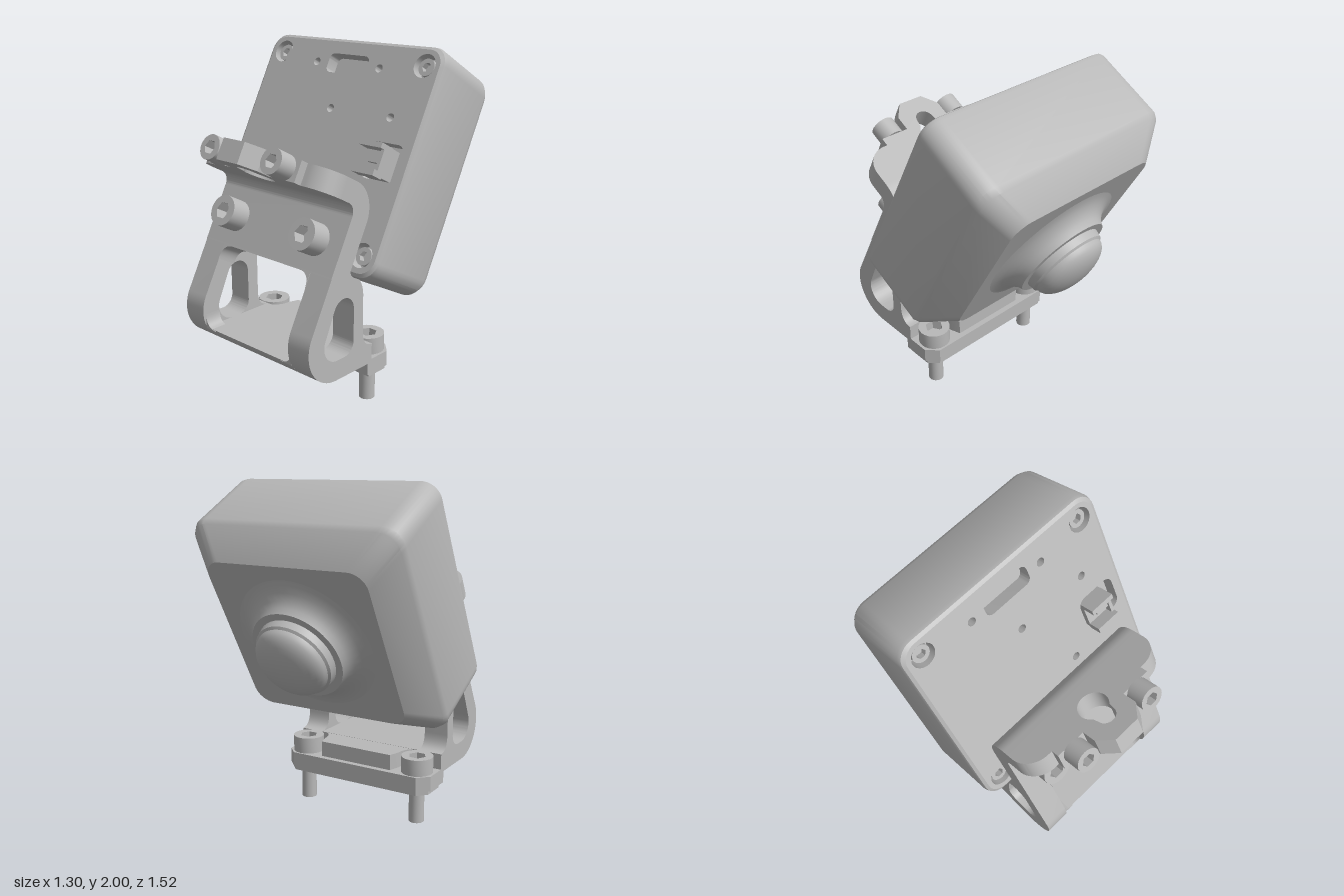
import * as THREE from 'three';
import { toCreasedNormals } from 'three/addons/utils/BufferGeometryUtils.js';

const grey = new THREE.MeshStandardMaterial({ color: 0xb8b8b8 });
grey.name = 'grey metal';
const PI = Math.PI;

function add(parent, name, geo) {
  const m = new THREE.Mesh(toCreasedNormals(geo, 0.5), grey);
  m.name = name;
  parent.add(m);
  return m;
}
const extrude = (shape, depth) =>
  new THREE.ExtrudeGeometry(shape, { depth, bevelEnabled: false, curveSegments: 12 });

// side profile drawn in (z, y), swept across x from x0 to x1
const sweepX = (shape, x0, x1) => extrude(shape, x1 - x0).rotateY(-PI / 2).translate(x1, 0, 0);
// plan drawn in (x, z), hanging down from y = top
const slab = (shape, top, thick) => extrude(shape, thick).rotateX(PI / 2).translate(0, top, 0);

const poly = pts => new THREE.Shape(pts.map(p => new THREE.Vector2(p[0], p[1])));
const circle = (x, y, r) => new THREE.Path().absarc(x, y, r, 0, 2 * PI, false);

// points of a rounded rectangle, counterclockwise
function roundRect(cx, cy, hw, hh, r, seg = 8) {
  const pts = [];
  [[1, 1], [-1, 1], [-1, -1], [1, -1]].forEach(([sx, sy], k) => {
    for (let i = 0; i <= seg; i++) {
      const a = (k + i / seg) * PI / 2;
      pts.push(new THREE.Vector2(cx + sx * (hw - r) + r * Math.cos(a), cy + sy * (hh - r) + r * Math.sin(a)));
    }
  });
  return pts;
}

// socket-head screw along +z: head from z = 0 to h, shank behind
function screw(parent, name, r, h, shank, shankR) {
  const g = new THREE.Group();
  g.name = name;
  const head = new THREE.Shape().absarc(0, 0, r, 0, 2 * PI, false);
  const hex = [];
  for (let i = 0; i < 6; i++) hex.push(new THREE.Vector2(r * 0.56 * Math.cos(i * PI / 3), r * 0.56 * Math.sin(i * PI / 3)));
  head.holes.push(new THREE.Path(hex));
  add(g, 'socketHead', extrude(head, h));
  add(g, 'socketFloor', new THREE.CircleGeometry(r * 0.9, 24).translate(0, 0, h * 0.4));
  if (shank) add(g, 'shank', new THREE.CylinderGeometry(shankR, shankR, shank, 24).rotateX(PI / 2).translate(0, 0, -shank / 2));
  parent.add(g);
  return g;
}

// housing shell lofted through rounded-square rings
function housingGeometry() {
  const rings = [[0, 0.625, 0.09], [-0.012, 0.643, 0.1], [-0.035, 0.65, 0.105], [-0.455, 0.65, 0.11],
    [-0.49, 0.637, 0.11], [-0.635, 0.497, 0.1]];
  const pos = [], idx = [];
  let n = 0;
  for (const [z, h, r] of rings) {
    const pts = roundRect(0, 0, h, h, r);
    n = pts.length;
    pts.forEach(p => pos.push(p.x, p.y, z));
  }
  for (let k = 0; k < rings.length - 1; k++) {
    for (let i = 0; i < n; i++) {
      const a = k * n + i, b = k * n + (i + 1) % n;
      idx.push(a, a + n, b, b, a + n, b + n);
    }
  }
  const last = (rings.length - 1) * n;
  pos.push(0, 0, -0.635);
  for (let i = 0; i < n; i++) idx.push(rings.length * n, last + (i + 1) % n, last + i);
  const g = new THREE.BufferGeometry();
  g.setAttribute('position', new THREE.Float32BufferAttribute(pos, 3));
  g.setIndex(idx);
  return g;
}

function buildHousing(tilted) {
  add(tilted, 'housing', housingGeometry());

  // cover plate with slot, pin holes, screw pockets and connector opening
  const plate = new THREE.Shape(roundRect(0, 0, 0.625, 0.625, 0.09));
  plate.holes.push(new THREE.Path(roundRect(0, 0.493, 0.148, 0.058, 0.035)));
  plate.holes.push(new THREE.Path(roundRect(0.46, -0.02, 0.12, 0.105, 0.05)));
  for (const [x, y] of [[-0.235, 0.49], [0.235, 0.49], [-0.015, 0.225], [0.42, 0.225], [0.2, -0.22]])
    plate.holes.push(circle(x, y, 0.024));
  for (const x of [-0.53, 0.53]) for (const y of [-0.528, 0.532]) {
    plate.holes.push(circle(x, y, 0.068));
    screw(tilted, 'coverScrew', 0.05, 0.06, 0).position.set(x, y, -0.08);
  }
  add(tilted, 'coverPlate', extrude(plate, 0.08).translate(0, 0, -0.08));
  add(tilted, 'pocketFloor', new THREE.BoxGeometry(1.2, 1.2, 0.01).translate(0, 0, -0.085));

  // connector
  const box = (w, h, d, x, y, z) =>
    add(tilted, 'connector', new THREE.BoxGeometry(w, h, d).translate(x, y, z));
  box(0.15, 0.17, 0.09, 0.425, -0.025, -0.03);
  box(0.15, 0.03, 0.1, 0.425, 0.048, 0.045);
  box(0.15, 0.035, 0.08, 0.425, -0.1, 0.05);
  box(0.02, 0.17, 0.05, 0.49, -0.025, 0.035);
  box(0.08, 0.03, 0.03, 0.44, -0.025, 0.03);

  // flared neck and domed lens on the rear face
  const prof = [[0.43, -0.002], [0.39, 0.004], [0.35, 0.018], [0.315, 0.04], [0.29, 0.066], [0.275, 0.098],
    [0.235, 0.098], [0.228, 0.14]];
  for (let i = 0; i <= 8; i++) {
    const a = i / 8 * PI / 2;
    prof.push([0.215 * Math.cos(a), 0.15 + 0.1 * Math.sin(a)]);
  }
  add(tilted, 'lensDome', new THREE.LatheGeometry(prof.map(p => new THREE.Vector2(Math.max(p[0], 0), p[1])), 48)
    .rotateX(-PI / 2).translate(0, 0, -0.635));
}

function buildUpperBracket(tilted) {
  // sheet with bend
  const bend = new THREE.Shape();
  bend.moveTo(0, -0.7);
  bend.lineTo(0, -0.36);
  bend.absarc(0.18, -0.36, 0.18, PI, PI / 2, true);
  bend.lineTo(0.24, -0.18);
  bend.lineTo(0.24, -0.3);
  bend.lineTo(0.19, -0.3);
  bend.absarc(0.19, -0.36, 0.06, PI / 2, PI, false);
  bend.lineTo(0.13, -0.7);
  add(tilted, 'bracketSheet', sweepX(bend, -0.495, 0.495));

  // lip with tongue and keyhole
  const lip = new THREE.Shape();
  lip.moveTo(-0.495, 0.23);
  lip.lineTo(0.495, 0.23);
  lip.lineTo(0.495, 0.26);
  lip.absarc(0.355, 0.26, 0.14, 0, PI / 2, false);
  for (const [x, w] of [[0.33, 0.4], [0.33, 0.45], [0.15, 0.45], [0.15, 0.54], [0.08, 0.625], [-0.08, 0.625],
    [-0.15, 0.54], [-0.15, 0.45], [-0.33, 0.45], [-0.33, 0.4], [-0.355, 0.4]]) lip.lineTo(x, w);
  lip.absarc(-0.355, 0.26, 0.14, PI / 2, PI, false);
  const key = new THREE.Path();
  key.absarc(0, 0.37, 0.088, 0.8, PI - 0.8, true);
  key.lineTo(-0.055, 0.47);
  key.absarc(0, 0.47, 0.055, PI, 0, true);
  lip.holes.push(key);
  add(tilted, 'bracketLip', slab(lip, -0.18, 0.12));

  for (const s of [-1, 1]) {
    screw(tilted, 'lipScrew', 0.072, 0.11, 0).position.set(s * 0.235, -0.235, 0.45);
    screw(tilted, 'sheetScrew', 0.09, 0.13, 0).position.set(s * 0.31, -0.523, 0.125);
    // rounded upper window corner
    const f = new THREE.Shape();
    f.moveTo(s * 0.345, -0.7);
    f.lineTo(s * 0.265, -0.7);
    f.quadraticCurveTo(s * 0.345, -0.7, s * 0.345, -0.79);
    add(tilted, 'windowCorner', extrude(f, 0.13));
  }
}

function buildBase(root) {
  // triangular side frames
  const side = new THREE.Shape();
  side.moveTo(0.345, 0.885);
  side.quadraticCurveTo(0.244, 0.81, 0.244, 0.72);
  side.lineTo(0.244, 0.5);
  side.quadraticCurveTo(0.24, 0.405, 0.165, 0.405);
  side.lineTo(0.165, 0.29);
  side.lineTo(0.46, 0.29);
  side.absarc(0.46, 0.5, 0.21, -PI / 2, 0.489, false);
  side.lineTo(0.46, 0.946);
  const hole = new THREE.Path();
  hole.absarc(0.4, 0.665, 0.08, 0.489, PI, false);
  hole.lineTo(0.32, 0.48);
  hole.absarc(0.395, 0.48, 0.075, PI, 1.5 * PI, false);
  hole.absarc(0.452, 0.505, 0.1, -PI / 2, 0.489, false);
  side.holes.push(hole);
  add(root, 'sideFrame', sweepX(side, 0.345, 0.495));
  add(root, 'sideFrame', sweepX(side, -0.495, -0.345));

  // floor between the frames, with rounded front edge
  const floor = new THREE.Shape();
  floor.moveTo(0.165, 0.405);
  floor.lineTo(0.165, 0.29);
  floor.lineTo(0.46, 0.29);
  floor.absarc(0.46, 0.5, 0.21, -PI / 2, -0.47, false);
  add(root, 'floor', sweepX(floor, -0.345, 0.345));

  // raised centre of the foot, scalloped round the screws
  const centre = new THREE.Shape();
  centre.moveTo(-0.495, 0.21);
  centre.lineTo(0.495, 0.21);
  centre.lineTo(0.46, 0.175);
  centre.absarc(0.39, 0.065, 0.13, 1.0, PI, false);
  centre.lineTo(0.24, 0.0);
  centre.lineTo(-0.24, 0.0);
  centre.lineTo(-0.26, 0.065);
  centre.absarc(-0.39, 0.065, 0.13, 0, PI - 1.0, false);
  add(root, 'footCentre', slab(centre, 0.404, 0.1));

  const foot = poly([[-0.495, 0.2], [0.495, 0.2], [0.495, 0.03], [0.43, -0.035],
    [-0.43, -0.035], [-0.495, 0.03]]);
  add(root, 'foot', slab(foot, 0.31, 0.09));
  add(root, 'footUnderside', slab(poly([[-0.48, 0.17], [0.48, 0.17], [0.48, 0.03], [0.425, -0.025],
    [-0.425, -0.025], [-0.48, 0.03]]), 0.225, 0.03));

  for (const s of [-1, 1]) {
    const sc = screw(root, 'footScrew', 0.095, 0.098, 0.31, 0.046);
    sc.rotation.x = -PI / 2;
    sc.position.set(s * 0.385, 0.31, 0.07);
    // rounded lower window corner
    const f = new THREE.Shape();
    f.moveTo(s * 0.345, 0.4);
    f.lineTo(s * 0.265, 0.4);
    f.quadraticCurveTo(s * 0.345, 0.4, s * 0.345, 0.485);
    add(root, 'windowCorner', extrude(f, 0.1).translate(0, 0, 0.55));
  }
}

export function createModel() {
  const root = new THREE.Group();
  root.name = 'mountedSensor';
  const tilted = new THREE.Group();
  tilted.name = 'tiltedHead';
  tilted.position.set(0, 1.435, 0.056);
  tilted.rotation.x = -28 * PI / 180;
  root.add(tilted);
  buildHousing(tilted);
  buildUpperBracket(tilted);
  buildBase(root);
  return root;
}
